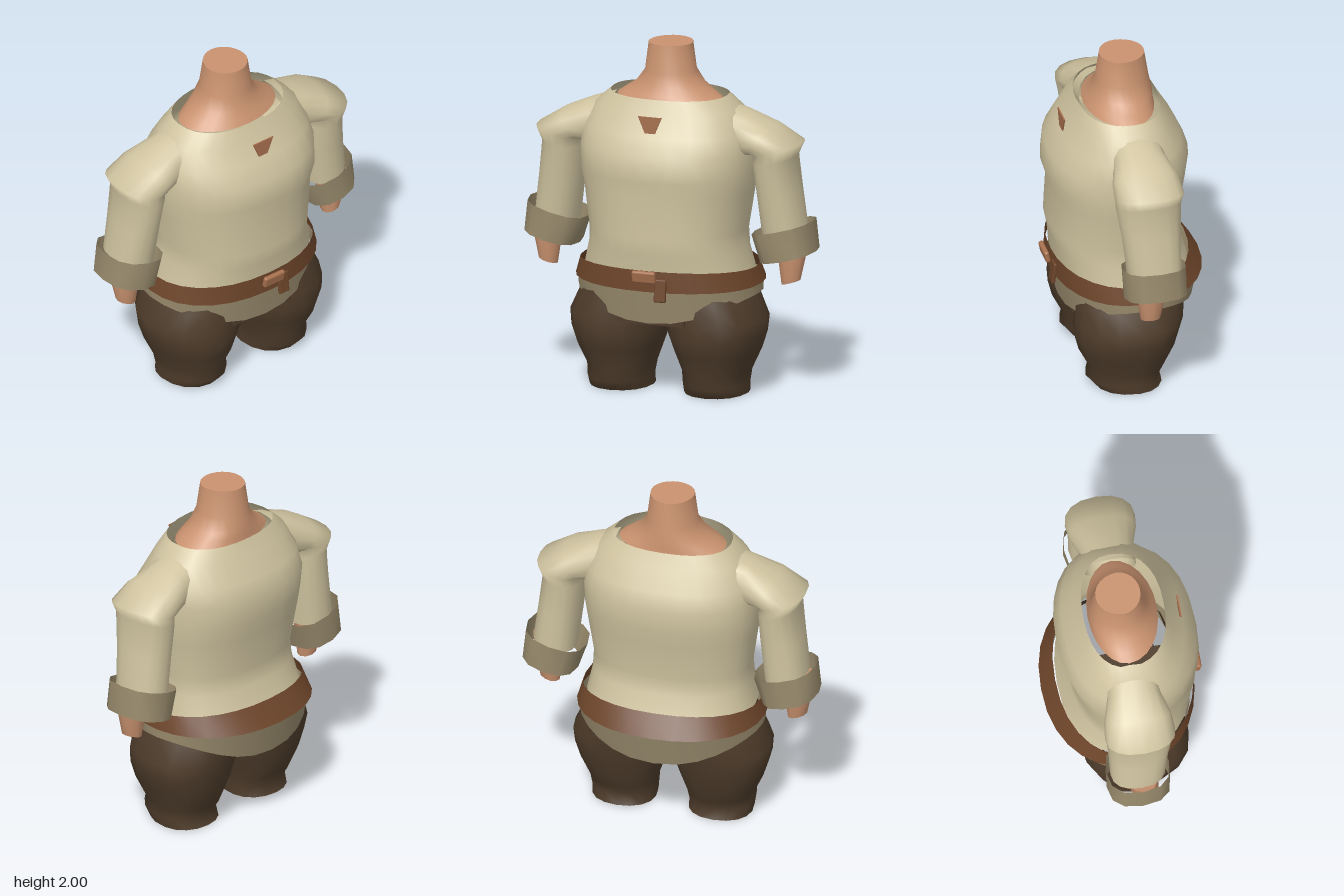
import * as THREE from 'three';
import { RoundedBoxGeometry } from 'three/addons/geometries/RoundedBoxGeometry.js';

const mat = (name, color, side = THREE.DoubleSide) => {
  const m = new THREE.MeshStandardMaterial({ color, side });
  m.name = name;
  return m;
};

// Skin a list of closed rings, given as functions of the angle; caps are hard edged
function loft(rings, seg, { capStart = false, capEnd = false, mirror = 1 } = {}) {
  const pos = [], idx = [];
  const tri = (a, b, c) => (mirror > 0 ? idx.push(a, b, c) : idx.push(a, c, b));
  const addRing = (ring) => {
    const start = pos.length / 3;
    for (let i = 0; i < seg; i++) {
      const [x, y, z] = ring((i / seg) * Math.PI * 2);
      pos.push(x * mirror, y, z);
    }
    return start;
  };
  const starts = rings.map(addRing);
  for (let r = 0; r + 1 < rings.length; r++) {
    for (let i = 0; i < seg; i++) {
      const j = (i + 1) % seg;
      const a = starts[r] + i, b = starts[r] + j, c = starts[r + 1] + i, d = starts[r + 1] + j;
      tri(a, b, c);
      tri(b, d, c);
    }
  }
  const cap = (ring, flip) => {
    const s = addRing(ring);
    const p = ring(0), q = ring(Math.PI);
    const centre = pos.length / 3;
    pos.push(((p[0] + q[0]) / 2) * mirror, (p[1] + q[1]) / 2, (p[2] + q[2]) / 2);
    for (let i = 0; i < seg; i++) {
      const a = s + i, b = s + ((i + 1) % seg);
      flip ? tri(centre, b, a) : tri(centre, a, b);
    }
  };
  if (capStart) cap(rings[0], true);
  if (capEnd) cap(rings[rings.length - 1], false);
  const g = new THREE.BufferGeometry();
  g.setAttribute('position', new THREE.Float32BufferAttribute(pos, 3));
  g.setIndex(idx);
  g.computeVertexNormals();
  return g;
}

const pow = (v, p) => Math.sign(v) * Math.pow(Math.abs(v), p);

// Level ring: height, x range, front and back z; y may vary with the angle
const level = (y, x0, x1, zf, zb, n = 2) => (t) => {
  const c = pow(Math.cos(t), 2 / n), s = pow(Math.sin(t), 2 / n);
  const h = typeof y === 'function' ? y(Math.abs(Math.sin(t))) : y;
  return [(x0 + x1) / 2 + (c * (x1 - x0)) / 2, h, s > 0 ? s * zf : -s * zb];
};
const body = (rows, n) => rows.map(([y, w, zf, zb]) => level(y, -w, w, zf, zb, n));

// Tilted limb ring: outer point, inner point, z centre and z half width
const limb = (rows, n = 2) => rows.map(([ox, oy, ix, iy, zc, zh]) => (t) => {
  const c = pow(Math.cos(t), 2 / n), s = pow(Math.sin(t), 2 / n);
  return [(ox + ix) / 2 + (c * (ox - ix)) / 2, (oy + iy) / 2 + (c * (oy - iy)) / 2, zc + s * zh];
});

export function createModel() {
  const model = new THREE.Group();
  const shirt = mat('shirt cream', 0xd0c4a0);
  const trim = mat('trim khaki', 0x988a6c);
  const leather = mat('belt leather', 0x6d452a);
  const cloth = mat('trouser brown', 0x4e3c2b, THREE.FrontSide);
  const skin = mat('skin', 0xc9926f, THREE.FrontSide);
  const metal = mat('buckle copper', 0xa8714f);

  const add = (name, geometry, material, parent = model) => {
    const m = new THREE.Mesh(geometry, material);
    m.name = name;
    parent.add(m);
    return m;
  };

  // Neck flaring into the shoulders
  add('neck', loft(body([
    [2.0, 0.125, 0.115, -0.14], [1.84, 0.145, 0.14, -0.165], [1.765, 0.2, 0.165, -0.18],
    [1.725, 0.26, 0.19, -0.18], [1.69, 0.31, 0.21, -0.185],
  ]), 24, { capStart: true }), skin);

  // Shirt body, open at collar and waist
  add('shirtBody', loft(body([
    [1.718, 0.34, 0.25, -0.21], [1.64, 0.43, 0.285, -0.25], [1.52, 0.49, 0.35, -0.32],
    [1.42, 0.505, 0.42, -0.365], [1.28, 0.5, 0.435, -0.345], [1.18, 0.485, 0.4, -0.33],
    [0.95, 0.45, 0.42, -0.285], [0.85, 0.455, 0.4, -0.3], [0.71, 0.485, 0.385, -0.36],
  ], 2.3), 28), shirt);

  // Shirt hem below the belt, dipping at front and back
  add('shirtHem', loft(body([
    [0.67, 0.53, 0.385, -0.43],
    [(s) => 0.59 - 0.14 * Math.pow(s, 2.5), 0.53, 0.36, -0.385],
  ], 2.2), 28), trim);

  // Flared belt with buckle and hanging end
  add('belt', loft(body([
    [(s) => 0.74 + 0.025 * s, 0.512, 0.405, -0.37], [0.645, 0.54, 0.41, -0.45],
  ], 2.2), 28), leather);
  const buckle = add('buckle', new RoundedBoxGeometry(0.14, 0.07, 0.03, 2, 0.012), metal);
  buckle.position.set(0, 0.737, 0.435);
  buckle.rotation.x = 0.2;
  const tail = add('beltEnd', new RoundedBoxGeometry(0.07, 0.13, 0.022, 2, 0.008), leather);
  tail.position.set(0.088, 0.657, 0.408);
  tail.rotation.x = -0.12;

  // Bare patch at the chest opening
  const patch = new THREE.Shape([[-0.07, 1.64], [-0.03, 1.545], [0.03, 1.545], [0.07, 1.64]]
    .map(([x, y]) => new THREE.Vector2(x, y)));
  add('chestOpening', new THREE.ExtrudeGeometry(patch, { depth: 0.008, bevelEnabled: false }), metal)
    .position.z = 0.333;

  // Crotch piece between the legs
  add('crotch', new THREE.BoxGeometry(0.4, 0.05, 0.6), cloth).position.set(0, 0.46, 0.03);

  for (const side of [1, -1]) {
    const label = side > 0 ? 'left' : 'right';
    const arm = new THREE.Group();
    arm.name = label + 'Arm';
    model.add(arm);

    // Trouser leg, open at the top
    add(label + 'Leg', loft([
      [0.66, 0.0, 0.47, 0.3, -0.3], [0.56, 0.0, 0.515, 0.32, -0.3], [0.44, 0.01, 0.57, 0.335, -0.28],
      [0.35, 0.015, 0.562, 0.34, -0.255], [0.25, 0.05, 0.53, 0.315, -0.23],
      [0.13, 0.092, 0.475, 0.255, -0.18], [0.065, 0.1, 0.47, 0.272, -0.135], [0.005, 0.1, 0.465, 0.22, -0.16],
    ].map((r) => level(...r, 2.15)), 16, { capEnd: true, mirror: side }), cloth);

    // Sleeve with an overhanging shoulder fold
    add('sleeve', loft(limb([
      [0.32, 1.69, 0.34, 1.38, 0, 0.15], [0.46, 1.645, 0.44, 1.38, 0, 0.155],
      [0.62, 1.575, 0.5, 1.4, 0, 0.19], [0.78, 1.475, 0.515, 1.41, 0, 0.2],
      [0.745, 1.4, 0.515, 1.36, 0, 0.19], [0.77, 1.2, 0.53, 1.18, -0.01, 0.17],
      [0.8, 0.98, 0.56, 0.92, -0.02, 0.155],
    ], 2.3), 16, { mirror: side }), shirt, arm);

    // Rolled cuff, open at both ends
    add('cuff', loft(limb([
      [0.845, 1.03, 0.495, 0.94, -0.02, 0.18], [0.862, 0.855, 0.55, 0.78, -0.02, 0.18],
    ], 2.5), 12, { mirror: side }), trim, arm);

    // Forearm stump
    add('forearm', loft(limb([
      [0.82, 0.96, 0.63, 0.92, 0.0, 0.09], [0.815, 0.84, 0.65, 0.8, 0.01, 0.08],
      [0.782, 0.69, 0.67, 0.658, 0.015, 0.055],
    ]), 10, { capStart: true, capEnd: true, mirror: side }), skin, arm);
  }
  return model;
}
